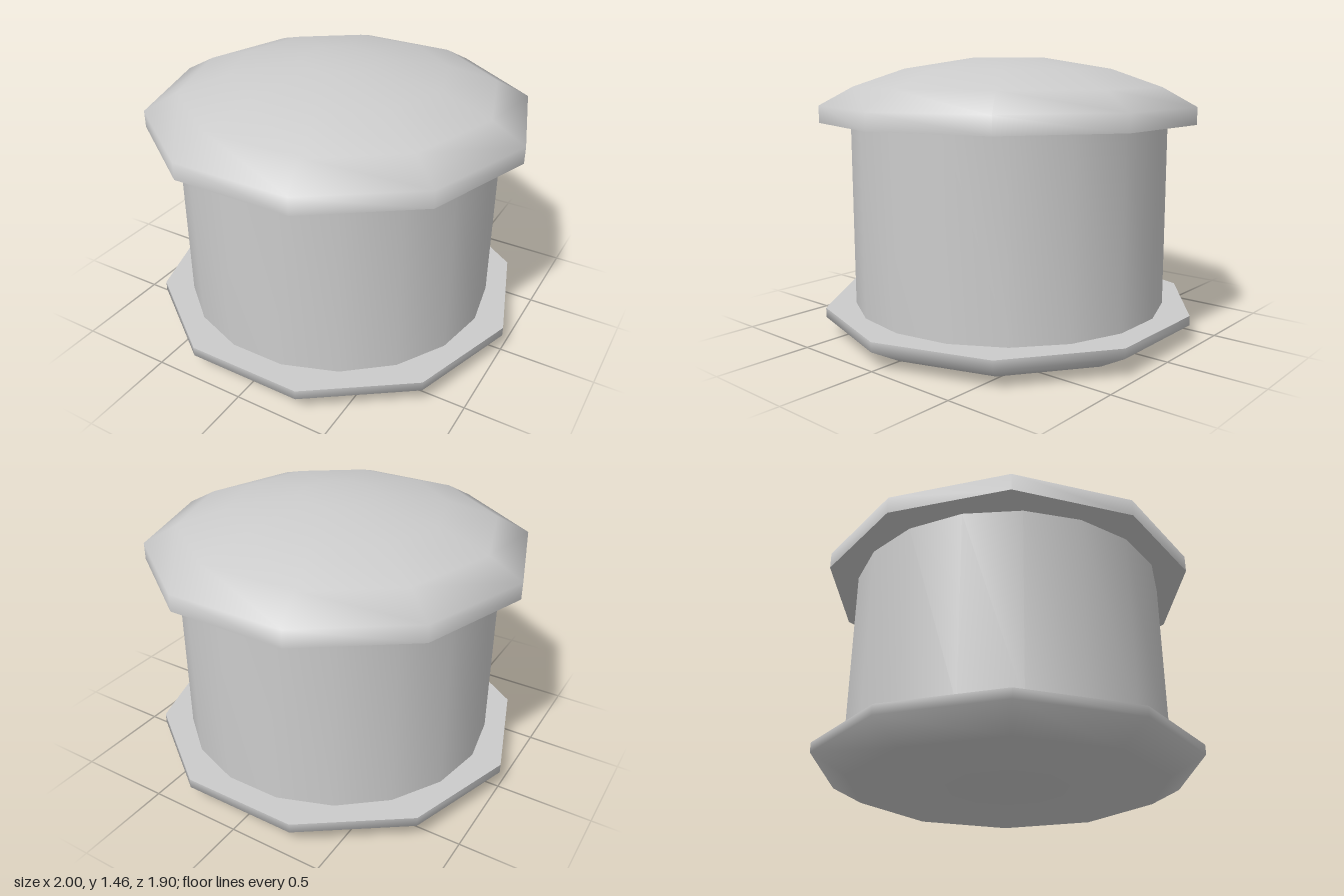
import * as THREE from 'three';
import { toCreasedNormals } from 'three/addons/utils/BufferGeometryUtils.js';

const material = new THREE.MeshStandardMaterial({ color: 0xcccccc });

// Turned part: profile of [radius, height] from bottom to top, a corner on the x axis.
function turned(name, profile, sides) {
  const points = profile.map(([r, y]) => new THREE.Vector2(r, y));
  const lathe = new THREE.LatheGeometry(points, sides, Math.PI / 2);
  const mesh = new THREE.Mesh(toCreasedNormals(lathe, THREE.MathUtils.degToRad(75)), material);
  mesh.name = name;
  return mesh;
}

export function createModel() {
  const model = new THREE.Group();
  model.name = 'liddedDrum';

  // Ten-sided base plate with a bevelled underside
  model.add(turned('base', [[0, 0], [0.825, 0], [1, 0.095], [1, 0.145], [0, 0.145]], 10));

  // Straight round body
  model.add(turned('body', [[0.84, 0.145], [0.84, 1.125]], 18));

  // Ten-sided domed lid with a flat underside and crown
  model.add(turned('lid', [
    [0, 1.125], [1, 1.125], [1, 1.213], [0.825, 1.308], [0.56, 1.398], [0.195, 1.455], [0, 1.455],
  ], 10));

  return model;
}
